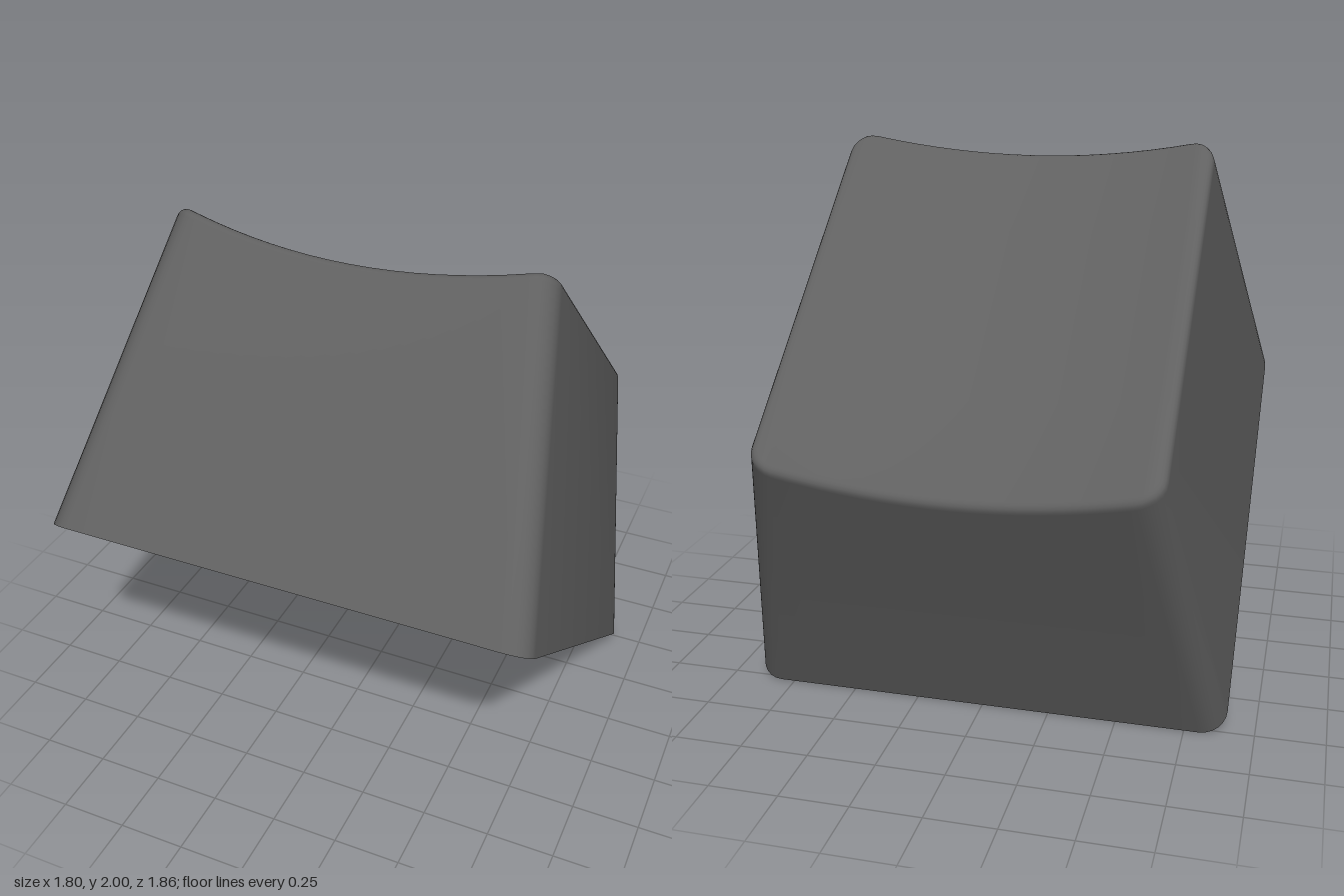
import * as THREE from 'three';
import { toCreasedNormals } from 'three/addons/utils/BufferGeometryUtils.js';

const material = new THREE.MeshStandardMaterial({ color: 0x606060 });

// Rounded rectangle in x/z, with extra points across the front and back edges
function outline(w, back, front, r) {
  const pts = [];
  const corner = (cx, cz, a0) => {
    for (let i = 0; i <= 6; i++) {
      const a = a0 + (i / 6) * Math.PI / 2;
      pts.push([cx + r * Math.cos(a), cz + r * Math.sin(a)]);
    }
  };
  const edge = (x0, x1, z) => {
    for (let i = 1; i < 16; i++) pts.push([x0 + (x1 - x0) * i / 16, z]);
  };
  corner(w - r, front - r, 0);
  edge(w - r, r - w, front);
  corner(r - w, front - r, Math.PI / 2);
  corner(r - w, back + r, Math.PI);
  edge(r - w, w - r, back);
  corner(w - r, back + r, Math.PI * 1.5);
  return pts;
}

// Sloping top face, dished across x
const sag = x => 0.087 * (1 - Math.min(1, Math.abs(x) / 0.65) ** 2);
const dish = (x, z) => 1.123 + 0.078 * z - sag(x);

// Flat ring at the open bottom
function rimRing(w, back, front, r) {
  return outline(w, back, front, r).map(([x, z]) => new THREE.Vector3(x, 0, z));
}

// Dished ring; its back edge follows the leaning back wall as it dips,
// and squash pulls it onto the middle line to close a cap
function dishRing(w, back, front, r, drop, squash = 0) {
  const mid = (back + front) / 2;
  return outline(w, back, front, r).map(([x, z]) => {
    const wallZ = z < mid ? z - 0.24 * sag(x) : z;
    const zz = wallZ + (mid - wallZ) * squash;
    return new THREE.Vector3(x, dish(x, zz) - drop, zz);
  });
}

// Skin a list of rings, leaving out collapsed triangles
function loft(rings) {
  const pos = [];
  const tri = (a, b, c) => {
    const n = b.clone().sub(a).cross(c.clone().sub(a));
    if (n.length() > 1e-9) [a, b, c].forEach(p => pos.push(p.x, p.y, p.z));
  };
  for (let k = 0; k < rings.length - 1; k++) {
    const up = rings[k], low = rings[k + 1], n = up.length;
    for (let i = 0; i < n; i++) {
      const j = (i + 1) % n;
      tri(up[i], up[j], low[i]);
      tri(up[j], low[j], low[i]);
    }
  }
  const g = new THREE.BufferGeometry();
  g.setAttribute('position', new THREE.Float32BufferAttribute(pos, 3));
  return toCreasedNormals(g, 0.6);
}

function polygon(points) {
  return new THREE.Shape(points.map(p => new THREE.Vector2(...p)));
}

function add(group, name, geometry) {
  const mesh = new THREE.Mesh(geometry, material);
  mesh.name = name;
  group.add(mesh);
  return mesh;
}

export function createModel() {
  const model = new THREE.Group();
  model.name = 'keycap';
  const cap = new THREE.Group();
  cap.name = 'tiltedCap';
  cap.rotation.x = -Math.PI / 5;
  cap.position.set(0, 0.528, 0.2035);
  model.add(cap);

  // Hollow shell: dished top, small rounded edge, outer wall, rim, inner wall, ceiling
  const W = 0.705, B = -0.637, F = 0.896, f = 0.03, rings = [];
  for (const s of [1, 0.5]) rings.push(dishRing(W - f, B + f, F - f, 0.065, 0, s));
  for (let i = 0; i <= 4; i++) {
    const a = (1 - i / 4) * Math.PI / 2;
    const e = f * (1 - Math.cos(a)), drop = f * (1 - Math.sin(a));
    rings.push(dishRing(W - e, B + e, F - e, 0.095 - e, drop));
  }
  rings.push(rimRing(0.898, -0.898, 0.898, 0.095));
  rings.push(rimRing(0.80, -0.78, 0.80, 0.08));
  for (const s of [0, 0.5, 1]) rings.push(dishRing(0.62, -0.54, 0.80, 0.06, 0.1, s));
  add(cap, 'shell', loft(rings));

  // Stem and ribs sit a little forward of the centre
  const mount = new THREE.Group();
  mount.name = 'stemAndRibs';
  mount.position.z = 0.1;
  cap.add(mount);

  // Twelve-sided stem with a cross-shaped socket
  const sides = [];
  for (let i = 0; i < 12; i++) {
    const a = i * Math.PI / 6;
    sides.push([0.264 * Math.cos(a), 0.264 * Math.sin(a)]);
  }
  const L = 0.185, t = 0.056;
  const socket = polygon([[L, t], [t, t], [t, L], [-t, L], [-t, t], [-L, t],
    [-L, -t], [-t, -t], [-t, -L], [t, -L], [t, -t], [L, -t]]);
  const prism = (shape, y0, y1) => {
    const g = new THREE.ExtrudeGeometry(shape, { depth: y1 - y0, bevelEnabled: false });
    return toCreasedNormals(g.rotateX(-Math.PI / 2).translate(0, y0, 0), 0.6);
  };
  const stemShape = polygon(sides);
  stemShape.holes.push(socket);
  add(mount, 'stem', prism(stemShape, 0.084, 0.55));
  add(mount, 'stemBase', prism(polygon(sides), 0.55, 0.97));

  // Ribs joining the stem to the four walls
  const rib = (name, points, turn) => {
    const g = new THREE.ExtrudeGeometry(polygon(points), { depth: 0.15, bevelEnabled: false });
    add(mount, name, g.translate(0, 0, -0.075)).rotation.y = turn;
  };
  const sideRib = [[0.2, 0.47], [0.75, 0.54], [0.65, 0.97], [0.2, 0.97]];
  rib('leftRib', sideRib, 0);
  rib('rightRib', sideRib, Math.PI);
  rib('frontRib', [[0.2, 0.47], [0.75, 0.54], [0.75, 0.98], [0.2, 0.97]], -Math.PI / 2);
  rib('backRib', [[0.2, 0.28], [0.82, 0.385], [0.68, 0.92], [0.2, 0.95]], Math.PI / 2);

  return model;
}
